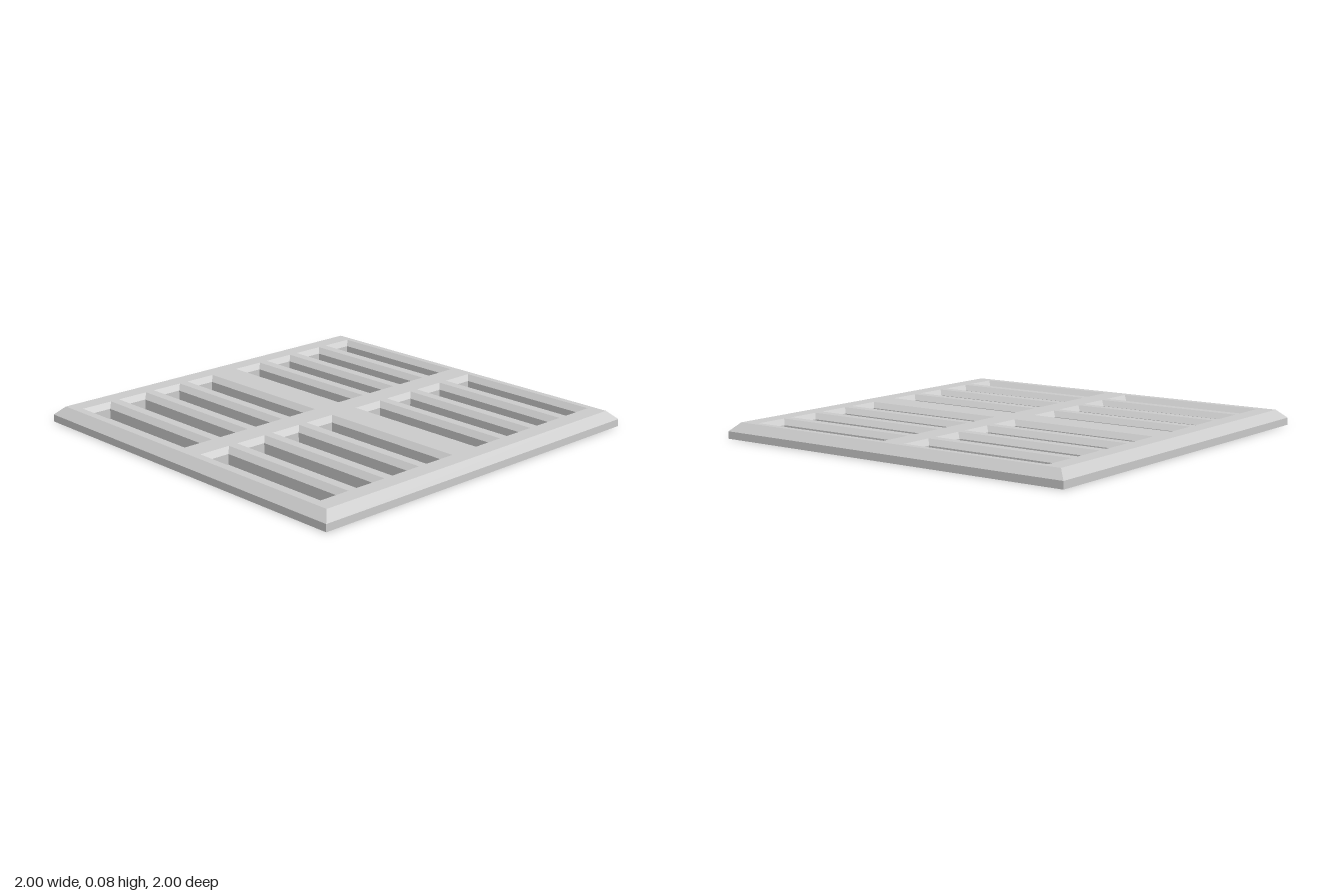
import * as THREE from 'three';

const material = new THREE.MeshStandardMaterial({ color: 0xcccccc, flatShading: true, side: THREE.DoubleSide });

// Four-sided walls joining rectangular levels [halfWidth, halfDepth, y]
function walls(levels) {
  const corners = [[-1, 1], [1, 1], [1, -1], [-1, -1]];
  const at = ([w, d, y], k) => {
    const [sx, sz] = corners[k % 4];
    return [sx * w, y, sz * d];
  };
  const pos = [];
  for (let i = 0; i < levels.length - 1; i++) {
    for (let k = 0; k < 4; k++) {
      const a = at(levels[i], k), b = at(levels[i], k + 1);
      const c = at(levels[i + 1], k + 1), d = at(levels[i + 1], k);
      pos.push(...a, ...b, ...c, ...a, ...c, ...d);
    }
  }
  const g = new THREE.BufferGeometry();
  g.setAttribute('position', new THREE.Float32BufferAttribute(pos, 3));
  g.computeVertexNormals();
  return g;
}

function part(name, geometry, parent) {
  const mesh = new THREE.Mesh(geometry, material);
  mesh.name = name;
  parent.add(mesh);
  return mesh;
}

function rectangle(path, cx, cy, w, d) {
  path.moveTo(cx - w, cy - d);
  path.lineTo(cx + w, cy - d);
  path.lineTo(cx + w, cy + d);
  path.lineTo(cx - w, cy + d);
  path.closePath();
  return path;
}

export function createModel() {
  const model = new THREE.Group();
  model.name = 'slottedPanel';

  const top = 0.08, edge = 0.955;
  const slotW = 0.402, slotD = 0.086, lip = 0.027, pitch = 0.2215;

  // Outer frame: upright skirt and sloped border, open below
  part('frame', walls([[1, 1, 0], [1, 1, 0.037], [edge, edge, top]]), model);

  // Two columns, each with two banks of four slots
  const centres = [];
  for (const x of [-0.464, 0.464]) {
    for (const start of [-0.836, 0.163]) {
      for (let i = 0; i < 4; i++) centres.push([x, start + i * pitch]);
    }
  }

  // Top plate pierced by the slots
  const plate = rectangle(new THREE.Shape(), 0, 0, edge, edge);
  for (const [x, z] of centres) plate.holes.push(rectangle(new THREE.Path(), x, -z, slotW, slotD));
  part('topPlate', new THREE.ShapeGeometry(plate).rotateX(-Math.PI / 2), model).position.y = top;

  // Recessed trays with a bevelled lip, upright walls and a flat floor
  const w = slotW - lip, d = slotD - lip;
  const trayWalls = walls([[slotW, slotD, top], [w, d, top - lip], [w, d, 0]]);
  const trayFloor = new THREE.PlaneGeometry(2 * w, 2 * d).rotateX(-Math.PI / 2);
  for (const [x, z] of centres) {
    const tray = new THREE.Group();
    tray.name = 'slotTray';
    tray.position.set(x, 0, z);
    part('slotWalls', trayWalls, tray);
    part('slotFloor', trayFloor, tray);
    model.add(tray);
  }
  return model;
}
